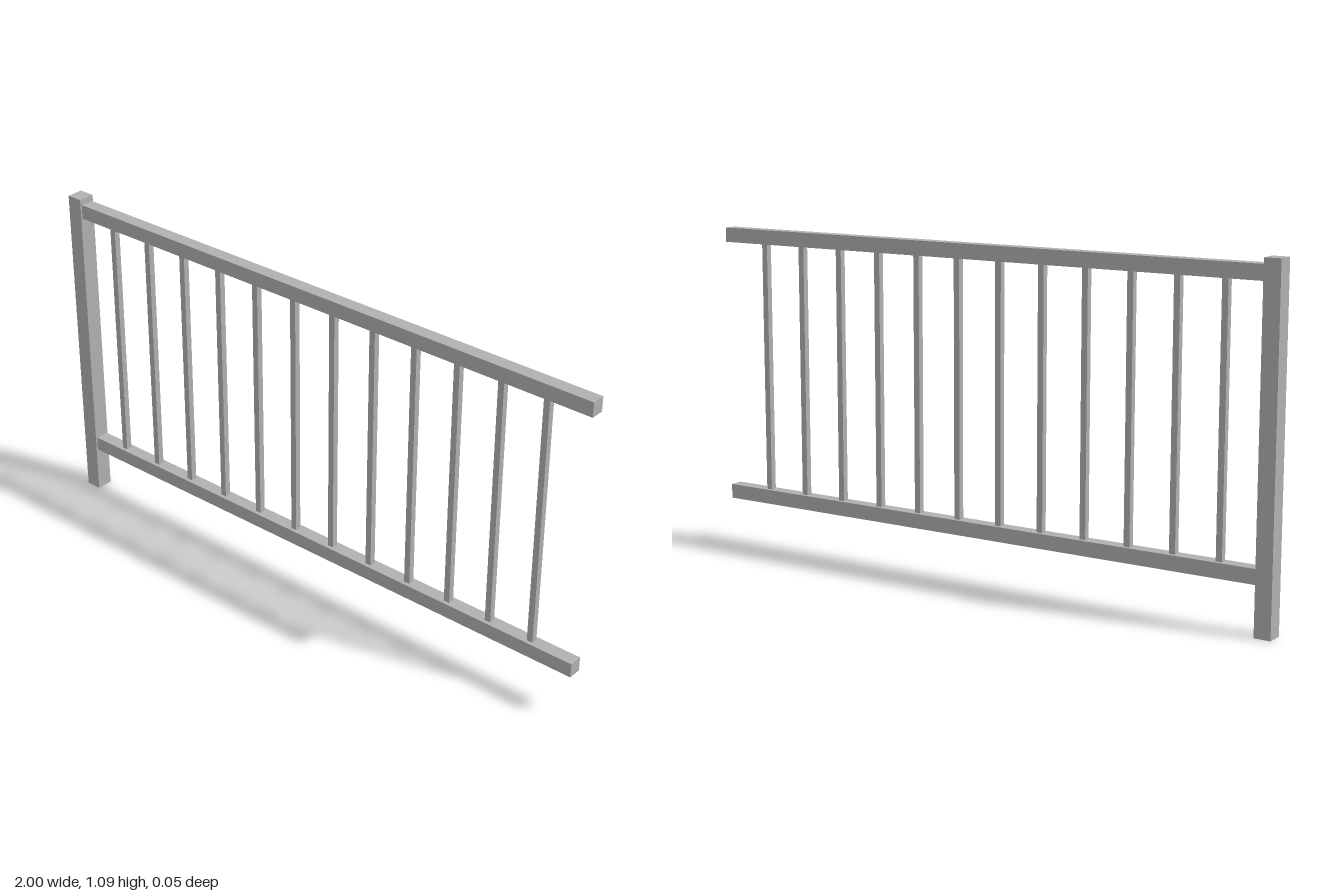
import * as THREE from 'three';

export function createModel() {
  const group = new THREE.Group();
  const metal = new THREE.MeshStandardMaterial({ color: 0xb0b0b0 });
  metal.name = 'grey metal';

  // Box given by its x and y limits and its depth, centred on z = 0
  function bar(name, x0, x1, y0, y1, depth) {
    const mesh = new THREE.Mesh(new THREE.BoxGeometry(x1 - x0, y1 - y0, depth), metal);
    mesh.name = name;
    mesh.position.set((x0 + x1) / 2, (y0 + y1) / 2, 0);
    group.add(mesh);
  }

  // End post
  const postFace = -0.947;
  bar('post', -1, postFace, 0, 1.086, 0.055);

  // Rails, butted against the post
  bar('topRail', postFace, 1, 1.02, 1.067, 0.044);
  bar('bottomRail', postFace, 1, 0.155, 0.202, 0.044);

  // Evenly spaced balusters between the rails
  const count = 12, first = -0.823, spacing = 0.1517, width = 0.02;
  for (let i = 0; i < count; i++) {
    const x = first + i * spacing;
    bar(`baluster${i + 1}`, x - width / 2, x + width / 2, 0.202, 1.02, width);
  }
  return group;
}
